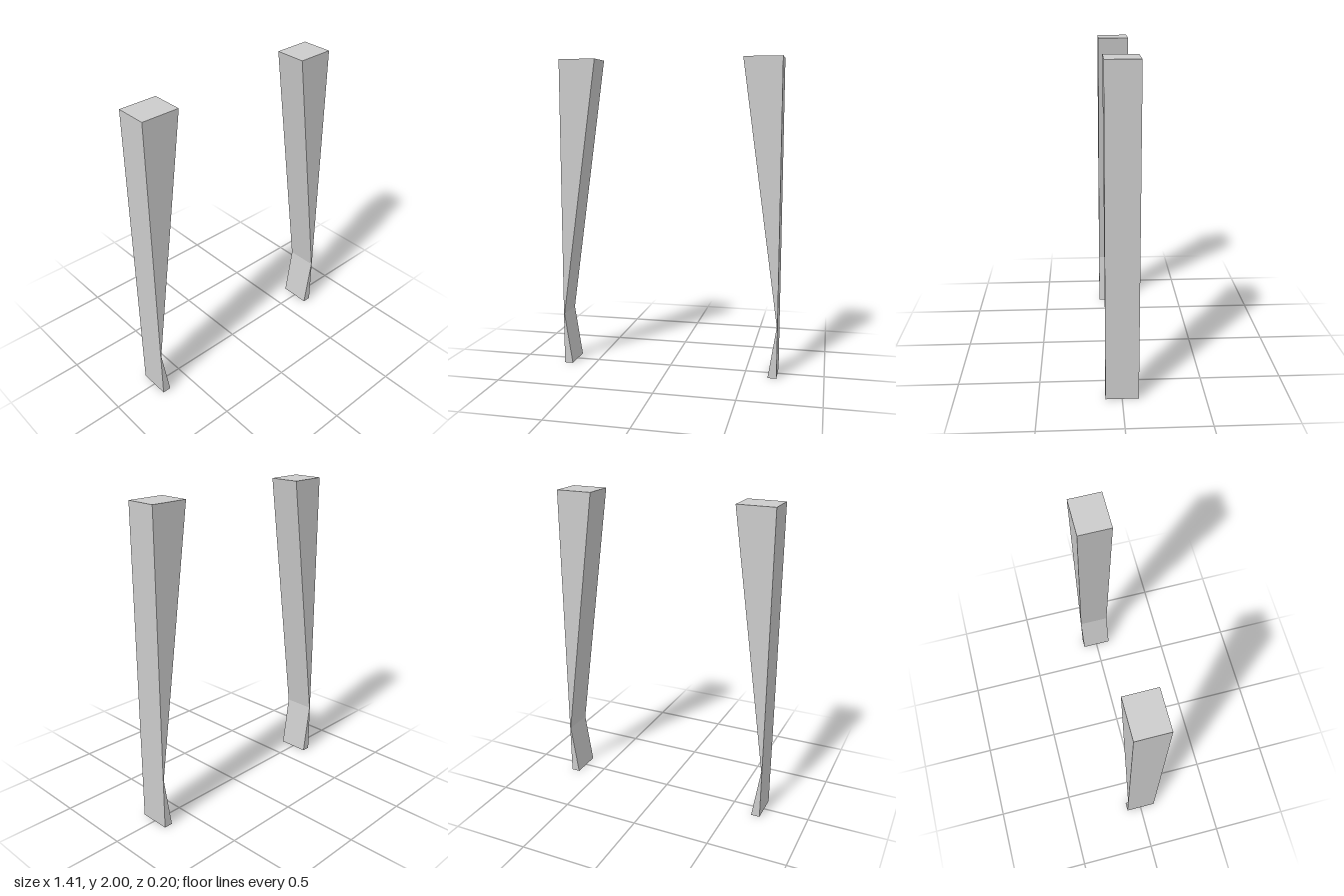
import * as THREE from 'three';

const DEPTH = 0.2;

// Side profile of one leg: straight outer edge, inner edge pinched at the ankle
const PROFILE = [
  [0.706, 0],
  [0.706, 2],
  [0.468, 2],
  [0.702, 0.335],
  [0.65, 0],
];

function makeLeg(name, side, material) {
  const shape = new THREE.Shape(PROFILE.map(([x, y]) => new THREE.Vector2(side * x, y)));
  const geometry = new THREE.ExtrudeGeometry(shape, { depth: DEPTH, bevelEnabled: false });
  geometry.translate(0, 0, -DEPTH / 2);
  const leg = new THREE.Mesh(geometry, material);
  leg.name = name;
  return leg;
}

export function createModel() {
  const group = new THREE.Group();
  group.name = 'taperedLegs';
  const material = new THREE.MeshStandardMaterial({ color: 0xcccccc, flatShading: true });

  // Mirrored pair of legs
  group.add(makeLeg('leftLeg', 1, material), makeLeg('rightLeg', -1, material));
  return group;
}
